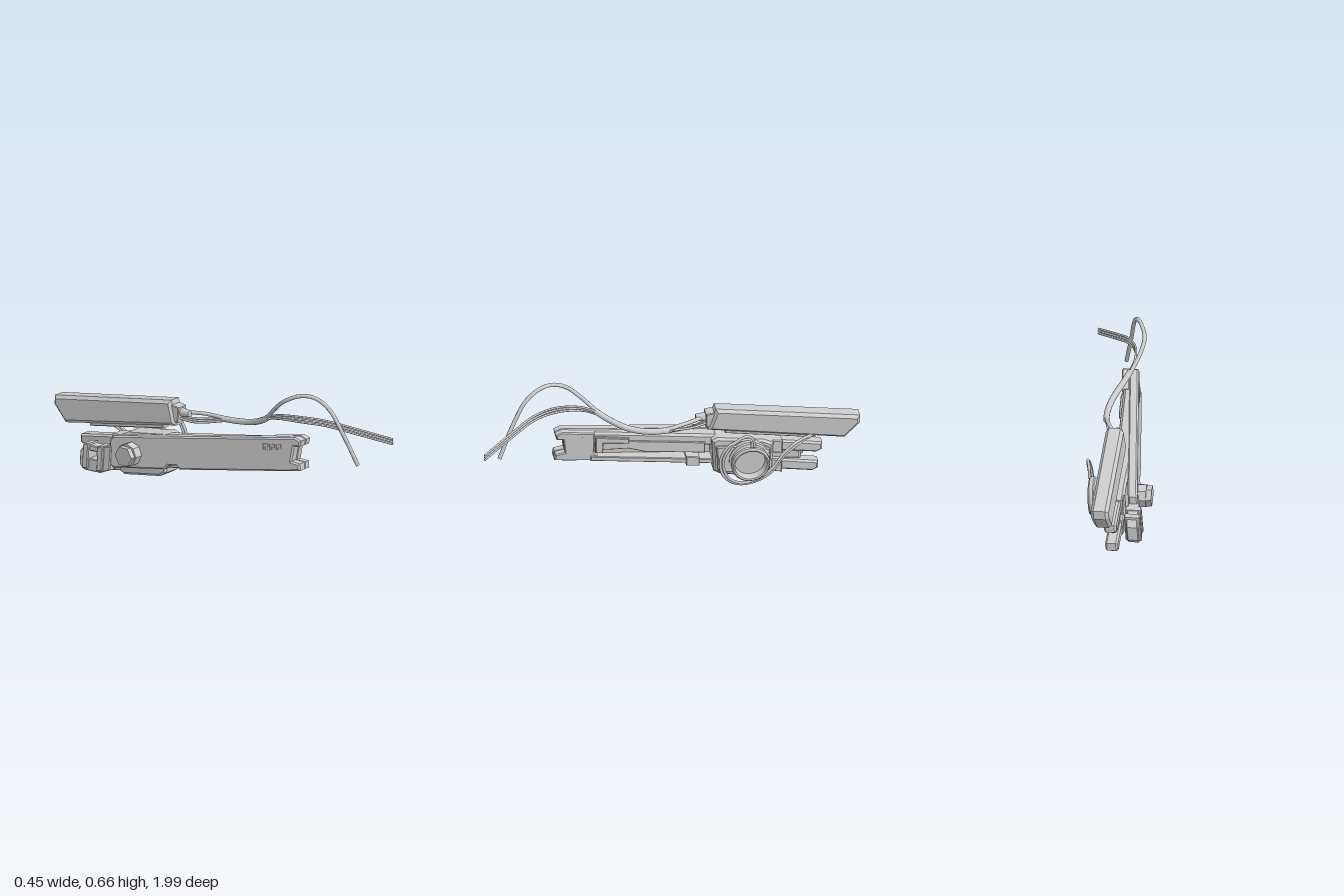
import * as THREE from 'three';

const grey = new THREE.MeshStandardMaterial({ color: 0xcccccc, side: THREE.DoubleSide });

// slope of the whole device: height lost per unit of length
const SLOPE = 0.16;
const armTop = z => 0.415 - SLOPE * (0.55 - z);

function add(parent, name, geometry) {
  const mesh = new THREE.Mesh(geometry, grey);
  mesh.name = name;
  parent.add(mesh);
  return mesh;
}

// Bevelled prism: side profile of [z, y] points between two x values,
// then leaned sideways along its length (yaw) and height (lean).
function slab(parent, name, profile, x0, x1, { bevel = 0.004, yaw = 0.1, lean = 0.09, y0 = 0.25, hole } = {}) {
  const toShape = p => p.map(([z, y]) => new THREE.Vector2(-z, y));
  const shape = new THREE.Shape(toShape(profile));
  if (hole) shape.holes.push(new THREE.Path(toShape(hole)));
  const geo = new THREE.ExtrudeGeometry(shape, {
    depth: x1 - x0 - 2 * bevel, bevelEnabled: bevel > 0,
    bevelThickness: bevel, bevelSize: bevel, bevelOffset: -bevel, bevelSegments: 1,
  });
  geo.translate(0, 0, x0 + bevel).rotateY(Math.PI / 2);
  const p = geo.attributes.position;
  for (let i = 0; i < p.count; i++) {
    p.setX(i, p.getX(i) + yaw * p.getZ(i) + lean * (p.getY(i) - y0));
  }
  geo.computeVertexNormals();
  return add(parent, name, geo);
}

// Strip parallel to the arm, given by its depth below the arm's top edge
const strip = (za, zb, top, bottom) => [
  [za, armTop(za) - top], [za, armTop(za) - bottom], [zb, armTop(zb) - bottom], [zb, armTop(zb) - top],
];

// Round cable with closed ends through [x, y, z] points
function cable(parent, name, points, radius) {
  const curve = new THREE.CatmullRomCurve3(points.map(p => new THREE.Vector3(...p)), false, 'centripetal');
  add(parent, name, new THREE.TubeGeometry(curve, 60, radius, 10));
  for (const t of [0, 1]) {
    const cap = add(parent, name + 'End', new THREE.CircleGeometry(radius, 10));
    cap.position.copy(curve.getPoint(t));
    cap.lookAt(curve.getPoint(t).addScaledVector(curve.getTangent(t), t ? 1 : -1));
  }
}

// Cylinder lying along x
function sideDisc(parent, name, x0, x1, y, z, r, sides) {
  const m = add(parent, name, new THREE.CylinderGeometry(r, r, x1 - x0, sides).rotateZ(Math.PI / 2));
  m.geometry = m.geometry.toNonIndexed();
  m.geometry.computeVertexNormals();
  m.position.set((x0 + x1) / 2, y, z);
}

function buildArm() {
  const arm = new THREE.Group();
  arm.name = 'arm';
  // left wall with a forked front end and a notched lower edge at the back
  slab(arm, 'sideWall', [
    [0.55, 0.417], [0.585, 0.405], [0.58, 0.375], [0.545, 0.37], [0.535, 0.29], [0.585, 0.285],
    [0.59, 0.25], [0.5, 0.233], [-0.13, 0.132], [-0.15, 0.15], [-0.2, 0.142], [-0.22, 0.118],
    [-0.53, 0.075], [-0.555, 0.1], [-0.555, 0.22], [-0.53, armTop(-0.53)],
  ], -0.11, -0.06, { bevel: 0.008 });
  // front end block
  slab(arm, 'frontBlock', [
    [0.55, 0.417], [0.585, 0.405], [0.58, 0.375], [0.545, 0.37], [0.535, 0.29], [0.585, 0.285],
    [0.59, 0.25], [0.5, 0.233], [0.34, 0.21], [0.38, 0.265], [0.38, 0.385],
  ], -0.065, -0.024, { bevel: 0.006 });
  // rails and panels of the open right side
  const side = { yaw: 0.05, lean: 0.05 };
  slab(arm, 'topRail', strip(0.4, -0.26, 0.004, 0.07), -0.085, -0.008, { ...side, bevel: 0.012 });
  slab(arm, 'bottomRail', strip(0.4, -0.24, 0.145, 0.173), -0.09, 0.0, side);
  slab(arm, 'innerPanel', [[0.34, 0.335], [0.34, 0.275], [0.2, 0.265], [0.12, 0.235], [-0.2, 0.185], [-0.2, 0.25]],
    -0.08, -0.002, side);
  slab(arm, 'latch', [[0.375, 0.36], [0.375, 0.265], [0.335, 0.26], [0.335, 0.32], [0.2, 0.3], [0.2, 0.33], [0.335, 0.355]],
    -0.07, 0.006, side);
  slab(arm, 'rearHook', strip(-0.1, -0.17, 0.13, 0.185), -0.07, 0.01, side);
  // vent slats on the left wall, small vent on the right
  for (let i = 0; i < 9; i++) {
    const z = 0.36 + i * 0.013;
    slab(arm, 'ventSlat', strip(z, z + 0.006, 0.03, 0.062), -0.113, -0.1, { bevel: 0 });
  }
  slab(arm, 'smallVent', strip(0.43, 0.446, 0.026, 0.042), -0.03, -0.022, { bevel: 0 });
  return arm;
}

function buildHousing() {
  const housing = new THREE.Group();
  housing.name = 'housing';
  const straight = { yaw: 0, lean: 0.05, bevel: 0.012 };
  slab(housing, 'housingBody', [
    [-0.23, 0.27], [-0.24, 0.085], [-0.28, 0.06], [-0.51, 0.025], [-0.54, 0.04], [-0.55, 0.225], [-0.5, 0.25], [-0.26, 0.285],
  ], -0.1, 0.02, straight);
  slab(housing, 'sideCover', [
    [-0.25, 0.24], [-0.26, 0.09], [-0.5, 0.05], [-0.53, 0.08], [-0.53, 0.2], [-0.48, 0.235],
  ], 0.0, 0.035, { ...straight, bevel: 0.006 });
  // two prongs at the back, each with a collar
  for (const [name, y, end] of [['upperProng', 0.23, -0.81], ['lowerProng', 0.115, -0.79]]) {
    const top = z => y - SLOPE * (-0.5 - z);
    slab(housing, name, [
      [-0.48, top(-0.48)], [-0.48, top(-0.48) - 0.064], [end + 0.03, top(end) - 0.06],
      [end, top(end) - 0.045], [end, top(end) - 0.005], [end + 0.02, top(end)],
    ], -0.085, -0.02, { ...straight, bevel: 0.01 });
    slab(housing, name + 'Collar', [
      [-0.53, top(-0.53) + 0.006], [-0.53, top(-0.53) - 0.07], [-0.6, top(-0.6) - 0.07], [-0.6, top(-0.6) + 0.006],
    ], -0.093, -0.005, { ...straight, bevel: 0.006 });
  }
  slab(housing, 'prongBridge', [[-0.5, 0.18], [-0.5, 0.1], [-0.7, 0.08], [-0.7, 0.14]], -0.075, -0.035, straight);

  // open ring with a recessed disc
  const profile = [[0, 0.045], [0.078, 0.045], [0.084, 0.085], [0.092, 0.088], [0.1, 0.08], [0.1, 0.062],
    [0.094, 0.056], [0.094, 0.035], [0.104, 0.03], [0.104, 0]];
  const ringGeo = new THREE.LatheGeometry(profile.map(p => new THREE.Vector2(...p)), 40).rotateZ(-Math.PI / 2);
  const ring = add(housing, 'sideRing', ringGeo.toNonIndexed());
  ring.geometry.computeVertexNormals();
  ring.position.set(0.005, 0.155, -0.42);
  ring.rotation.z = -0.06;

  // stepped knob on the left
  sideDisc(housing, 'knobBase', -0.2, -0.15, 0.168, -0.42, 0.062, 8);
  sideDisc(housing, 'knob', -0.228, -0.195, 0.168, -0.42, 0.054, 6);

  // clip bracket behind the left wall
  const clip = { yaw: 0.05, lean: 0.08, bevel: 0.005 };
  slab(housing, 'clipFrame', [
    [-0.54, 0.185], [-0.54, 0.06], [-0.6, 0.035], [-0.7, 0.035], [-0.73, 0.06], [-0.73, 0.13], [-0.7, 0.17], [-0.62, 0.17],
  ], -0.145, -0.085, { ...clip, hole: [[-0.62, 0.14], [-0.69, 0.14], [-0.69, 0.1], [-0.62, 0.1]] });
  for (const z of [-0.58, -0.67]) {
    slab(housing, 'clipJaw', [[z, 0.18], [z, 0.05], [z - 0.035, 0.045], [z - 0.035, 0.175]], -0.158, -0.075, clip);
  }
  return housing;
}

function buildUpperCase() {
  const box = new THREE.Group();
  box.name = 'upperCase';
  const lean = { yaw: 0, lean: 0.09, y0: 0.3 };
  slab(box, 'caseBody', [
    [-0.25, 0.46], [-0.21, 0.335], [-0.92, 0.212], [-1.0, 0.295], [-1.0, 0.34],
  ], -0.074, 0.018, { ...lean, bevel: 0.016 });
  slab(box, 'caseKeel', [[-0.3, 0.33], [-0.3, 0.3], [-0.77, 0.222], [-0.77, 0.26]], -0.055, 0.0, lean);
  // cable socket on the front end
  slab(box, 'socket', [[-0.2, 0.43], [-0.2, 0.35], [-0.26, 0.345], [-0.26, 0.44]], -0.062, 0.005, lean);
  const plug = add(box, 'plug', new THREE.CylinderGeometry(0.018, 0.024, 0.06, 12).rotateX(Math.PI / 2));
  plug.position.set(-0.018, 0.4, -0.18);
  return box;
}

function buildCables() {
  const cables = new THREE.Group();
  cables.name = 'cables';
  // main cable with its high loop
  cable(cables, 'mainCable', [
    [-0.02, 0.4, -0.2], [0.03, 0.4, -0.1], [0.065, 0.39, 0.05], [0.06, 0.4, 0.18], [0.025, 0.44, 0.28],
    [-0.02, 0.49, 0.36], [-0.06, 0.56, 0.44], [-0.075, 0.615, 0.51], [-0.05, 0.652, 0.59], [-0.02, 0.65, 0.66],
    [0.005, 0.6, 0.735], [0.03, 0.47, 0.81], [0.063, 0.31, 0.88],
  ], 0.0105);
  // sheath where the thin wires join the main cable
  cable(cables, 'cableSheath', [[0.06, 0.385, 0.0], [0.065, 0.39, 0.1], [0.05, 0.412, 0.21], [0.01, 0.455, 0.31], [-0.02, 0.492, 0.37]], 0.016);
  // thin wires at both ends of the sheath
  for (let i = 0; i < 3; i++) {
    const d = i - 1;
    cable(cables, 'frontWire', [
      [-0.005, 0.475 + d * 0.005, 0.34], [-0.03, 0.505 + d * 0.01, 0.44], [-0.02, 0.516 + d * 0.014, 0.58],
      [0.03, 0.507 + d * 0.014, 0.7], [0.1, 0.475 + d * 0.014, 0.81], [0.22, 0.418 + d * 0.013, 0.985],
    ], 0.0055);
    cable(cables, 'rearWire', [
      [-0.02 + d * 0.015, 0.37, -0.21], [0.01 + d * 0.015, 0.362 + d * 0.006, -0.13], [0.05 + d * 0.006, 0.375 + d * 0.006, -0.02], [0.065, 0.39, 0.06],
    ], 0.006);
  }
  // wires looping round the side ring
  for (let i = 0; i < 2; i++) {
    const s = i * 0.016;
    cable(cables, 'ringWire', [
      [0.0, 0.25, -0.76], [0.03, 0.235 - s, -0.68], [0.045, 0.18 - s, -0.6], [0.05, 0.09 - s, -0.53],
      [0.05, 0.035 - s / 2, -0.44], [0.07, 0.045 - s / 2, -0.35], [0.098, 0.11, -0.29 + s], [0.1, 0.2, -0.275 + s],
      [0.11, 0.29, -0.32 + s], [0.108, 0.332 - s, -0.38], [0.098, 0.32 - s, -0.42], [0.092, 0.26, -0.44 + s],
    ], 0.0075);
  }
  return cables;
}

export function createModel() {
  const model = new THREE.Group();
  model.name = 'cabledArm';
  model.add(buildArm(), buildHousing(), buildUpperCase(), buildCables());
  return model;
}
